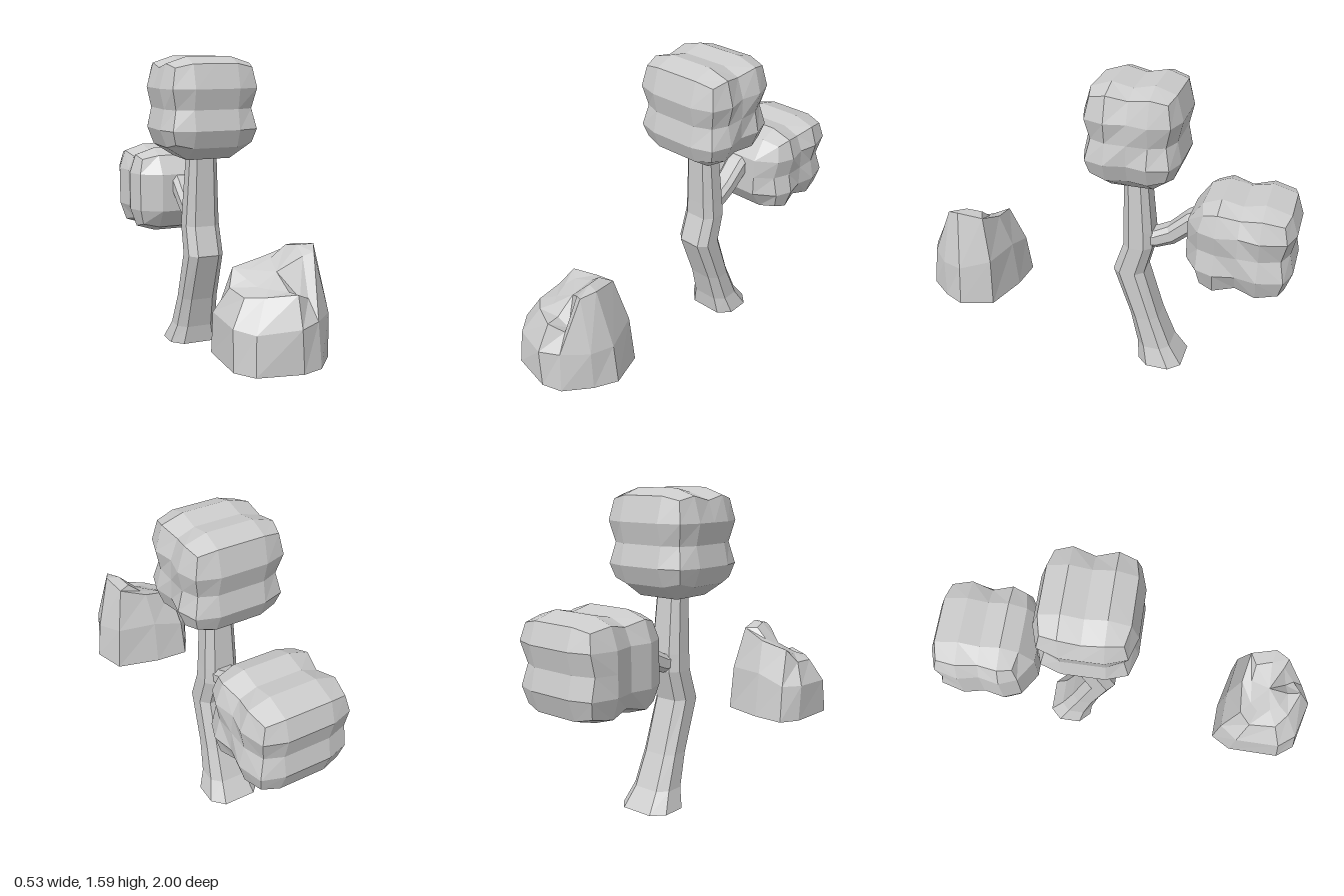
import * as THREE from 'three';

const material = new THREE.MeshStandardMaterial({ color: 0xcccccc, flatShading: true });

// Skin equal-length rings of [x, y, z] points and close both ends with fans.
function loft(rings) {
  const n = rings[0].length;
  const points = rings.flat();
  const index = [];
  for (let r = 0; r < rings.length - 1; r++) {
    for (let i = 0; i < n; i++) {
      const a = r * n + i, b = r * n + (i + 1) % n;
      index.push(a, b, b + n, a, b + n, a + n);
    }
  }
  const cap = (ring, start, flip) => {
    const centre = [0, 1, 2].map(k => ring.reduce((s, p) => s + p[k], 0) / n);
    const c = points.push(centre) - 1;
    for (let i = 0; i < n; i++) {
      const a = start + i, b = start + (i + 1) % n;
      index.push(...(flip ? [c, b, a] : [c, a, b]));
    }
  };
  cap(rings[0], 0, true);
  cap(rings[rings.length - 1], (rings.length - 1) * n, false);
  const geometry = new THREE.BufferGeometry();
  geometry.setAttribute('position', new THREE.Float32BufferAttribute(points.flat(), 3));
  geometry.setIndex(index);
  geometry.computeVertexNormals();
  return geometry;
}

// Chamfered-rectangle section shared by trunk and branch.
const section = [[1, -0.5], [1, 0.5], [0.6, 1], [-0.6, 1], [-1, 0.5], [-1, -0.5], [-0.6, -1], [0.6, -1]];

function trunkGeometry() {
  // height, half width, front z, back z
  const levels = [
    [0, 0.145, -0.23, -0.465], [0.1, 0.115, -0.22, -0.395], [0.27, 0.102, -0.175, -0.325],
    [0.535, 0.098, -0.075, -0.24], [0.69, 0.095, -0.125, -0.28], [0.78, 0.09, -0.125, -0.275],
    [1.1, 0.075, -0.12, -0.24],
  ];
  return loft(levels.map(([y, w, front, back]) =>
    section.map(([u, v]) => [u * w, y, (front + back) / 2 - v * (front - back) / 2])));
}

function branchGeometry() {
  // centre y, centre z, half width, half height, lean of the section in z
  const stations = [
    [0.735, -0.24, 0.065, 0.045, 0], [0.735, -0.29, 0.06, 0.045, 0.01],
    [0.77, -0.37, 0.055, 0.045, 0.02], [0.86, -0.47, 0.06, 0.045, 0.025], [0.89, -0.52, 0.06, 0.045, 0.025],
  ];
  return loft(stations.map(([y, z, w, h, lean]) =>
    section.map(([u, v]) => [-u * w, y + v * h, z + v * lean])));
}

// Rounded cube with a groove pressed round its middle and across top and one side.
function foliageGeometry() {
  const geometry = new THREE.BoxGeometry(4, 4, 4, 4, 4, 4);
  const p = geometry.attributes.position;
  const half = [0.265, 0.265, 0.243];
  for (let n = 0; n < p.count; n++) {
    const g = [p.getX(n), p.getY(n), p.getZ(n)].map(Math.round);
    const extremes = g.filter(v => Math.abs(v) === 2).length;
    const grooved = [
      g[1] === 0 || (g[0] > 0 && g[2] === 0),
      g[1] > 0 && g[2] === 0,
      g[1] === 0,
    ];
    const q = g.map((v, axis) => {
      if (Math.abs(v) < 2) return v * (axis === 0 ? 0.12 : 0.105);
      const pull = axis === 1 && v < 0 ? 0.07 : 0.035;
      const size = half[axis] - [0, 0, pull, pull + 0.02][extremes] - (grooved[axis] ? 0.023 : 0);
      return Math.sign(v) * size;
    });
    p.setXYZ(n, ...q);
  }
  geometry.computeVertexNormals();
  return geometry;
}

function rockGeometry() {
  const base = [
    [-0.2, 0.96], [0.01, 1], [0.11, 0.97], [0.21, 0.85], [0.265, 0.74],
    [0.21, 0.57], [-0.02, 0.51], [-0.2, 0.5], [-0.26, 0.6], [-0.265, 0.87],
  ].map(([x, z]) => [x, 0.27, z]);
  const shoulder = [
    [-0.19, 0.45, 0.94], [0, 0.47, 0.995], [0.1, 0.48, 0.95], [0.205, 0.48, 0.85], [0.243, 0.48, 0.74],
    [0.19, 0.52, 0.58], [-0.02, 0.52, 0.54], [-0.19, 0.47, 0.53], [-0.26, 0.47, 0.62], [-0.26, 0.46, 0.85],
  ];
  const rim = [
    [-0.12, 0.59, 0.87], [0.01, 0.605, 0.93], [0.08, 0.57, 0.89], [0.135, 0.76, 0.83], [0.17, 0.78, 0.76],
    [0.145, 0.755, 0.63], [0, 0.7, 0.6], [-0.16, 0.665, 0.61], [-0.2, 0.59, 0.67], [-0.19, 0.58, 0.81],
  ];
  // Hollow behind the front shelf, beside the tall ridge
  const hollow = [
    [-0.08, 0.61, 0.82], [0, 0.6, 0.86], [0.06, 0.56, 0.85], [0.09, 0.74, 0.81], [0.1, 0.775, 0.74],
    [0.08, 0.76, 0.66], [0.01, 0.7, 0.65], [-0.1, 0.66, 0.66], [-0.13, 0.63, 0.7], [-0.11, 0.61, 0.77],
  ];
  return loft([base, shoulder, rim, hollow]);
}

export function createModel() {
  const model = new THREE.Group();
  const add = (name, geometry, parent) => {
    const mesh = new THREE.Mesh(geometry, material);
    mesh.name = name;
    parent.add(mesh);
    return mesh;
  };

  const tree = new THREE.Group();
  tree.name = 'tree';
  model.add(tree);
  add('trunk', trunkGeometry(), tree);
  add('branch', branchGeometry(), tree);

  // The same leaf clump twice; the branch one is tipped over backwards.
  const foliage = foliageGeometry();
  add('topFoliage', foliage, tree).position.set(0, 1.327, -0.183);
  const side = add('branchFoliage', foliage, tree);
  side.position.set(0, 0.82, -0.735);
  side.rotation.x = -Math.PI / 2;

  add('rock', rockGeometry(), model);
  return model;
}
